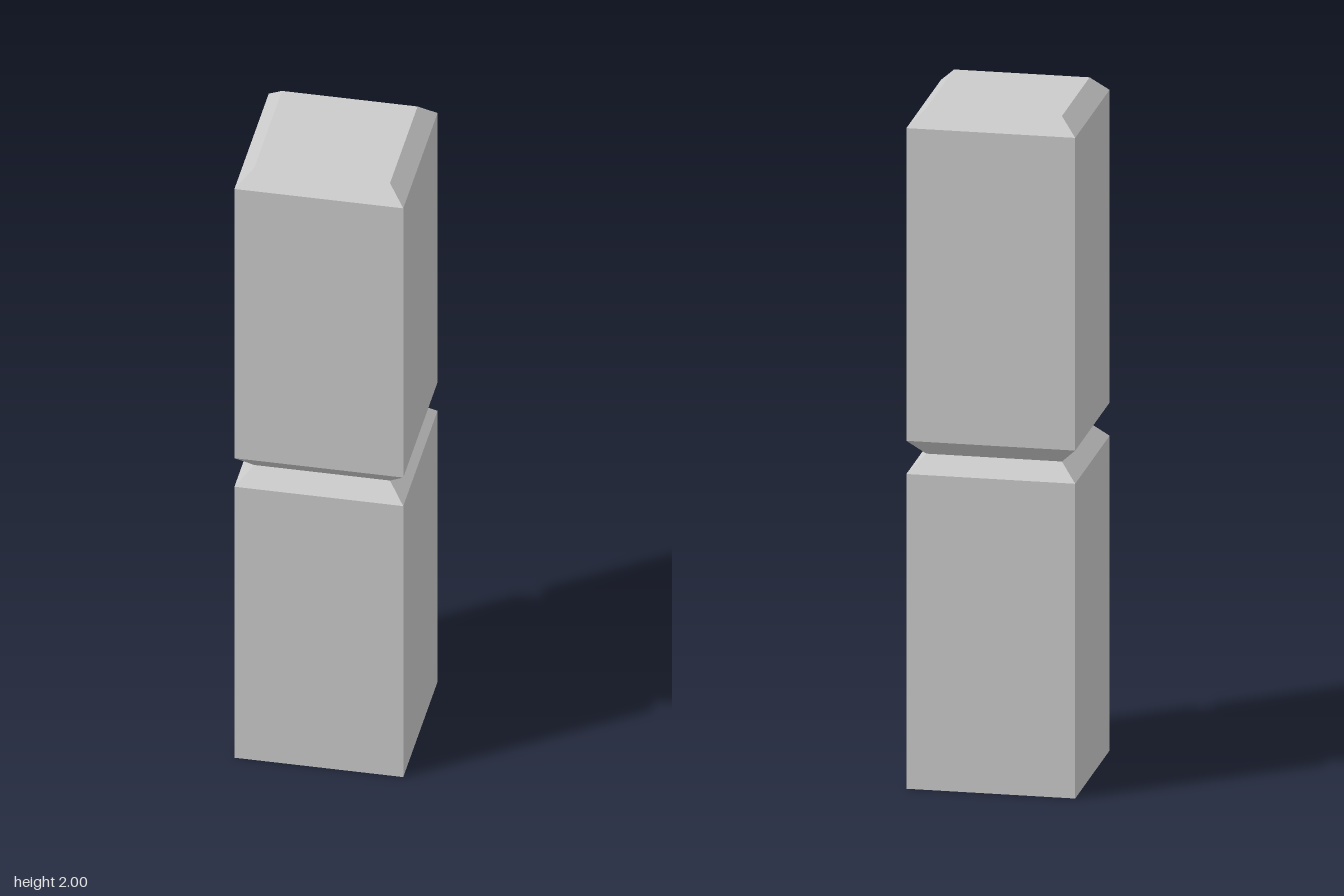
import * as THREE from 'three';

const HALF = 0.244;  // half width of the post
const INSET = 0.196; // half width at the chamfered ends

// Square solid from a [half width, height] profile listed bottom to top
function squareBlock(name, profile, material) {
  const points = profile.map(([half, y]) => new THREE.Vector2(half * Math.SQRT2, y));
  const geometry = new THREE.LatheGeometry(points, 4, Math.PI / 4).toNonIndexed();
  geometry.computeVertexNormals();
  const mesh = new THREE.Mesh(geometry, material);
  mesh.name = name;
  return mesh;
}

export function createModel() {
  const group = new THREE.Group();
  group.name = 'post';
  const material = new THREE.MeshStandardMaterial({ color: 0xcccccc, flatShading: true });

  // Lower block: flat base, chamfered in towards the groove
  group.add(squareBlock('lowerBlock', [
    [0, 0], [HALF, 0], [HALF, 0.93], [INSET, 0.979],
  ], material));

  // Upper block: flares out of the groove, chamfered flat top
  group.add(squareBlock('upperBlock', [
    [INSET, 0.979], [HALF, 1.028], [HALF, 1.952], [INSET, 2], [0, 2],
  ], material));

  return group;
}
